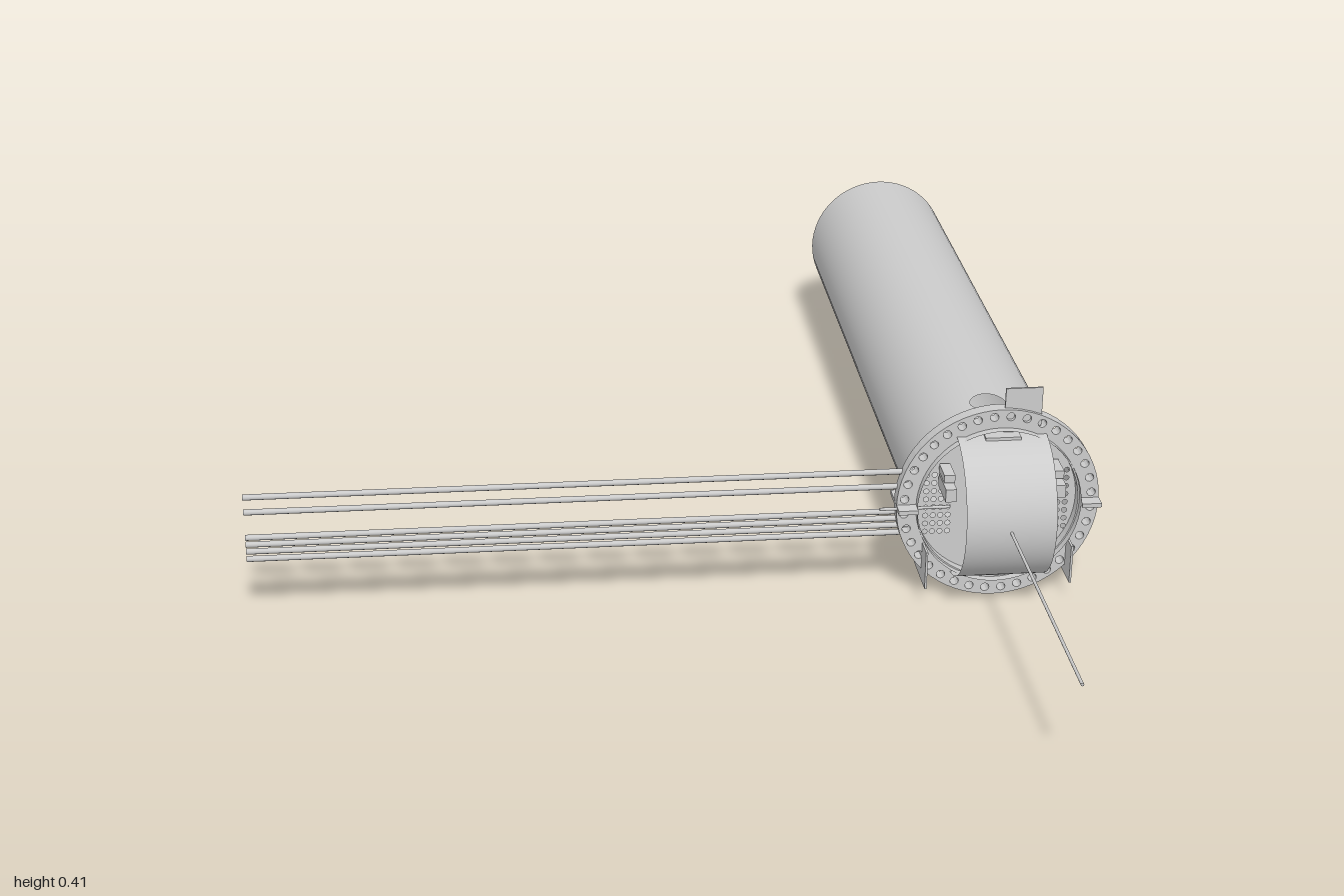
import * as THREE from 'three';

const CX = 0.59, CY = 0.19, R = 0.149;
const mat = new THREE.MeshStandardMaterial({ color: 0xcccccc, side: THREE.DoubleSide });

function add(group, name, geo, x = 0, y = 0, z = 0) {
  const m = new THREE.Mesh(geo, mat);
  m.name = name;
  m.position.set(x, y, z);
  group.add(m);
  return m;
}

function circlePath(x, y, r, n = 12) {
  const pts = [];
  for (let i = 0; i < n; i++) {
    const a = (i / n) * Math.PI * 2;
    pts.push(new THREE.Vector2(x + r * Math.cos(a), y + r * Math.sin(a)));
  }
  return new THREE.Path(pts);
}

// Open tube wall; each round port sits in a square window filled by a fan of quads
function tubeGeometry(z0, z1, ports) {
  const N = 64, step = (Math.PI * 2) / N, pos = [], nor = [], idx = [];
  const vert = (a, z) => {
    pos.push(R * Math.cos(a), R * Math.sin(a), z);
    nor.push(Math.cos(a), Math.sin(a), 0);
    return pos.length / 3 - 1;
  };
  const quad = (p) => {
    const [a, b, c, d] = p.map(([t, z]) => vert(t, z));
    idx.push(a, b, c, a, c, d);
  };
  const cuts = [z0, z1];
  ports.forEach((p) => cuts.push(p.z - p.w * step * R, p.z + p.w * step * R));
  cuts.sort((a, b) => a - b);
  for (let k = 0; k < cuts.length - 1; k++) {
    const mid = (cuts[k] + cuts[k + 1]) / 2;
    for (let i = 0; i < N; i++) {
      const inPort = ports.some((p) => Math.abs(mid - p.z) < 1e-4 && i >= p.i - p.w && i < p.i + p.w);
      if (inPort) continue;
      const a = i * step, b = a + step;
      quad([[a, cuts[k]], [b, cuts[k]], [b, cuts[k + 1]], [a, cuts[k + 1]]]);
    }
  }
  for (const p of ports) {
    const h = p.w * step * R, M = 32, L = 3;
    const at = (j, l) => {
      const t = (j / M) * Math.PI * 2, c = Math.cos(t), s = Math.sin(t);
      const sq = h / Math.max(Math.abs(c), Math.abs(s));
      const r = p.r + (sq - p.r) * (l / L);
      return [p.i * step + (r * c) / R, p.z + r * s];
    };
    for (let j = 0; j < M; j++)
      for (let l = 0; l < L; l++) quad([at(j, l), at(j, l + 1), at(j + 1, l + 1), at(j + 1, l)]);
  }
  const g = new THREE.BufferGeometry();
  g.setAttribute('position', new THREE.Float32BufferAttribute(pos, 3));
  g.setAttribute('normal', new THREE.Float32BufferAttribute(nor, 3));
  g.setIndex(idx);
  return g;
}

export function createModel() {
  const model = new THREE.Group();

  // Long open tube with one port above and two below
  add(model, 'mainTube', tubeGeometry(-1, 0.345, [
    { i: 16, z: 0.22, r: 0.034, w: 3 },
    { i: 48, z: -0.88, r: 0.034, w: 3 },
    { i: 48, z: -0.055, r: 0.014, w: 2 },
  ]), CX, CY, 0);

  // Flange with a circle of bolt holes
  const ring = new THREE.Shape(circlePath(0, 0, 0.188, 64).getPoints());
  ring.holes.push(circlePath(0, 0, R, 64));
  for (let i = 0; i < 36; i++) {
    const a = ((i + 0.5) / 36) * Math.PI * 2;
    ring.holes.push(circlePath(0.174 * Math.cos(a), 0.174 * Math.sin(a), 0.008));
  }
  add(model, 'flange', new THREE.ExtrudeGeometry(ring, { depth: 0.026, bevelEnabled: false }), CX, CY, 0.318);

  // Raised lip inside the bolt circle
  const lip = new THREE.CylinderGeometry(0.152, 0.152, 0.02, 64, 1, true).rotateX(Math.PI / 2);
  add(model, 'lip', lip, CX, CY, 0.35);

  // End plate with two perforated fields
  const disc = new THREE.Shape(circlePath(0, 0, R, 64).getPoints());
  for (const s of [-1, 1])
    for (let i = 0; i < 4; i++)
      for (let j = 0; j < 8; j++)
        disc.holes.push(circlePath(s * (0.088 + i * 0.014), -0.062 + j * 0.0165, 0.005, 8));
  add(model, 'perforatedPlate', new THREE.ShapeGeometry(disc), CX, CY, 0.325);

  // Half-round band arching over the end
  const band = new THREE.CylinderGeometry(0.138, 0.138, 0.165, 48, 1, true, 0, Math.PI).rotateZ(Math.PI / 2);
  // turn the arch so that it bulges forward
  band.computeBoundingBox();
  const c = band.boundingBox.getCenter(new THREE.Vector3());
  band.rotateX(Math.atan2(c.y, c.z) + (0));
  band.computeBoundingBox();
  if (band.boundingBox.max.z < 0.1) band.rotateX(Math.PI);
  add(model, 'archBand', band, CX, CY, 0.328);
  for (const s of [-1, 1])
    add(model, 'bandClip', new THREE.BoxGeometry(0.065, 0.008, 0.03), CX, CY + s * 0.136, 0.345);

  // Upright tab at the top of the flange
  add(model, 'topTab', new THREE.BoxGeometry(0.068, 0.09, 0.004), 0.629, 0.371, 0.335);

  // Thin needle forward and a short one to the side
  add(model, 'needle', new THREE.CylinderGeometry(0.003, 0.003, 0.675, 8).rotateX(Math.PI / 2), CX, CY, 0.6625);
  add(model, 'sideNeedle', new THREE.CylinderGeometry(0.003, 0.003, 0.13, 8).rotateZ(Math.PI / 2), 0.435, CY, 0.35);

  // Long side rods: two single ones and a close bundle
  for (const y of [0.252, 0.222, 0.171, 0.157, 0.143, 0.128])
    add(model, 'sideRod', new THREE.CylinderGeometry(0.0055, 0.0055, 1.22, 10).rotateZ(Math.PI / 2), -0.17, y, 0.322);

  // Side lugs and plates, mirrored
  for (const s of [-1, 1]) {
    add(model, 'sideLug', new THREE.BoxGeometry(0.036, 0.008, 0.09), CX + s * 0.17, CY, 0.325);
    add(model, 'sidePlate', new THREE.BoxGeometry(0.004, 0.075, 0.108), CX + s * 0.135, 0.077, 0.33);
    add(model, 'lowerBracket', new THREE.BoxGeometry(0.02, 0.025, 0.07), CX + s * 0.1, 0.238, 0.368);
    add(model, 'upperBracket', new THREE.BoxGeometry(0.02, 0.015, 0.05), CX + s * 0.1, 0.262, 0.358);
  }
  return model;
}
